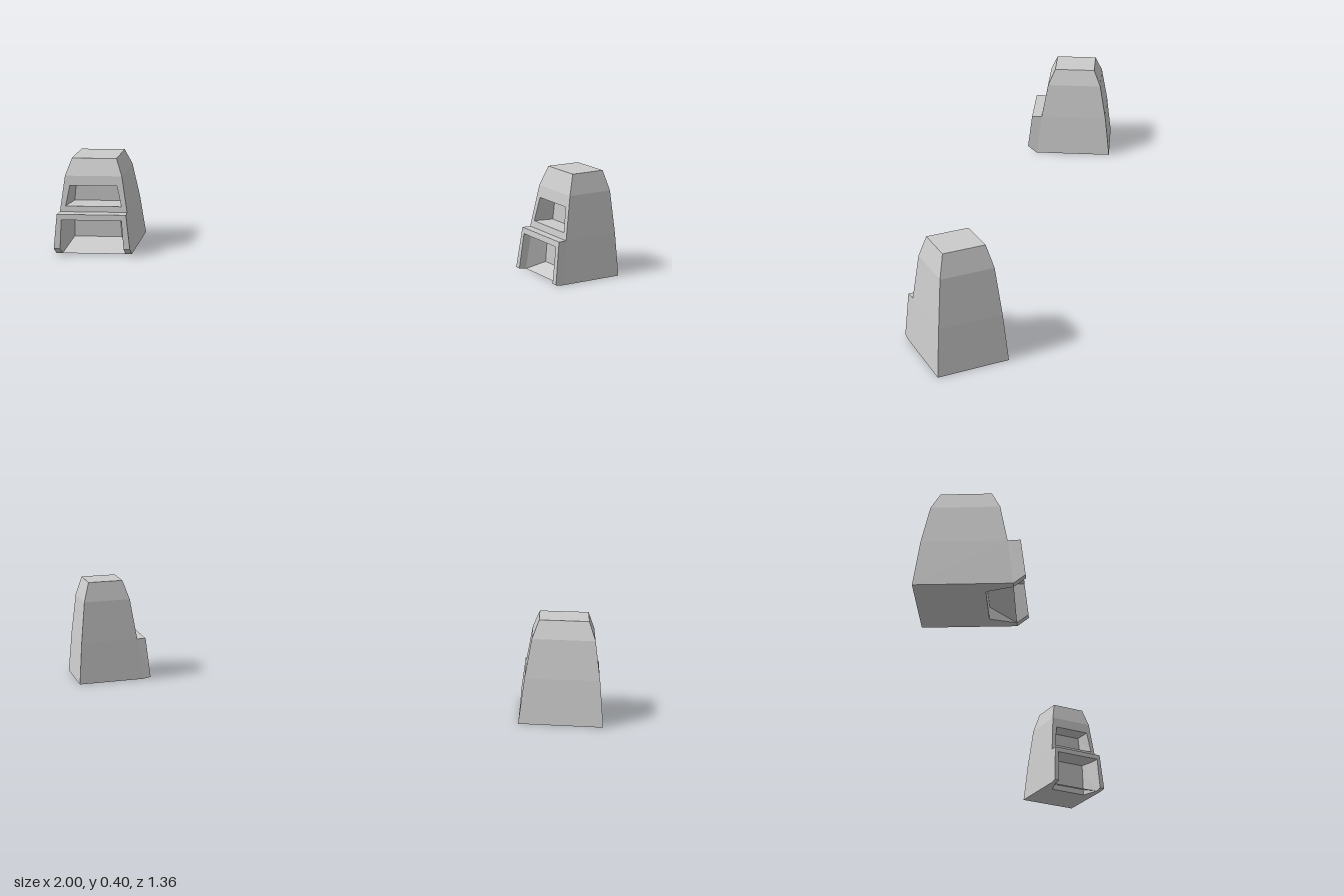
import * as THREE from 'three';

const W = 0.302; // oven width; local origin is the back left corner of the base
const material = new THREE.MeshStandardMaterial({ color: 0xcccccc, flatShading: true, side: THREE.DoubleSide });

// Four corners of an upright opening: bottom left, bottom right, top right, top left
const loop = (x0, y0, z0, x1, y1, z1) =>
  [[x0, y0, z0], [W - x0, y0, z0], [W - x1, y1, z1], [x1, y1, z1]];

// Quads joining edge i of loop a to edge i of loop b
const band = (a, b, edges = [0, 1, 2, 3]) =>
  edges.map(i => [a[i], a[(i + 1) % 4], b[(i + 1) % 4], b[i]]);

function addPart(group, name, quads, stretch) {
  const pos = [];
  for (const q of quads) for (const i of [0, 1, 2, 0, 2, 3]) {
    const [x, y, z] = q[i];
    pos.push(x, y > 0.165 ? 0.165 + (y - 0.165) * stretch : y, z);
  }
  const g = new THREE.BufferGeometry();
  g.setAttribute('position', new THREE.Float32BufferAttribute(pos, 3));
  g.computeVertexNormals();
  const mesh = new THREE.Mesh(g, material);
  mesh.name = name;
  group.add(mesh);
}

function oven(name, lip, floorRise, stretch) {
  const group = new THREE.Group();
  group.name = name;

  // Tapering shell: height, side inset, back/front inset
  const rings = [[0, 0, 0], [0.165, 0.017, 0.020], [0.305, 0.038, 0.046], [0.37, 0.062, 0.075]]
    .map(([y, s, d]) => [[s, y, 0.32 - d], [W - s, y, 0.32 - d], [W - s, y, d], [s, y, d]]);
  const shell = [
    ...band(rings[0], rings[1], [1, 2, 3]),
    ...band(rings[1], rings[2], [1, 2, 3]),
    ...band(rings[2], rings[3]),
    rings[3],
  ];
  addPart(group, 'body', shell, stretch);

  // Upper opening: frame, tapered recess and back wall
  const upOuter = loop(0.017, 0.165, 0.30, 0.038, 0.305, 0.274);
  const upInner = loop(0.04, 0.187, 0.296, 0.057, 0.267, 0.281);
  const upBack = loop(0.055, 0.187, 0.2, 0.065, 0.262, 0.2);
  addPart(group, 'upperOpening', [...band(upOuter, upInner), ...band(upInner, upBack), upBack], stretch);

  // Porch: an arch standing out from the lower front, open at the bottom
  const sides = [1, 2, 3];
  const outer = loop(0, lip, 0.3585, 0.014, 0.165, 0.342);
  const inner = loop(0.025, lip, 0.3585, 0.032, 0.143, 0.345);
  const wall = loop(0, 0, 0.32, 0.017, 0.165, 0.30);
  const mouth = loop(0.025, 0, 0.32, 0.032, 0.143, 0.303);
  const porch = [
    ...band(outer, inner, sides),
    ...band(wall, outer, sides),
    ...band(inner, mouth, sides),
    [wall[0], mouth[0], inner[0], outer[0]],
    [mouth[1], wall[1], outer[1], inner[1]],
  ];
  addPart(group, 'porch', porch, stretch);

  // Firebox: tapered recess with a rising floor
  const back = loop(0.055, floorRise, 0.23, 0.06, 0.138, 0.23);
  addPart(group, 'firebox', [...band(mouth, back), back], stretch);

  // Underside around the notch below the firebox floor
  const notchL = [0.055, 0, 0.23], notchR = [W - 0.055, 0, 0.23];
  const [fl, fr, br, bl] = rings[0];
  addPart(group, 'base', [
    [bl, br, notchR, notchL],
    [fl, bl, notchL, mouth[0]],
    [br, fr, mouth[1], notchR],
    [notchL, notchR, back[1], back[0]],
    [mouth[0], notchL, back[0], back[0]],
    [notchR, mouth[1], back[1], back[1]],
  ], stretch);
  return group;
}

export function createModel() {
  const model = new THREE.Group();
  model.name = 'ovens';

  const large = oven('largeOven', 0.03, 0.045, 1);
  large.position.set(-1, 0, 0.40);
  large.rotation.y = 0.686;

  const small = oven('smallOven', 0.005, 0.025, 1.16);
  small.position.set(0.765, 0, -0.687);
  small.rotation.y = -0.357;
  small.scale.set(0.828, 1, 0.806);

  model.add(large, small);
  return model;
}
